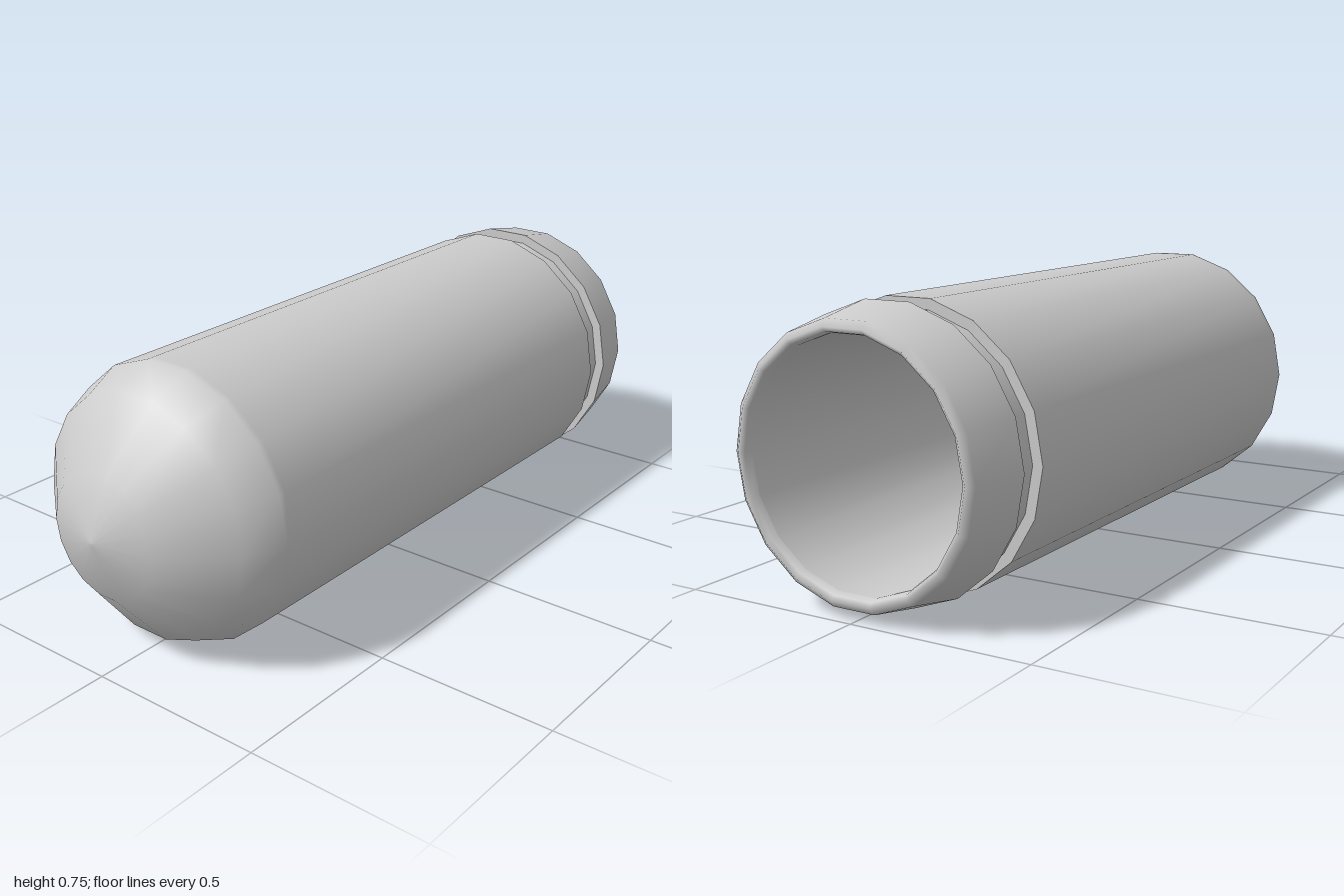
import * as THREE from 'three';

const SIDES = 18;
const AXIS_Y = 0.374;

// Revolves [radius, z] pairs around the long axis; z rising means facing outward.
function turned(name, profile) {
  const points = profile.map(([r, z]) => new THREE.Vector2(r, z));
  const geometry = new THREE.LatheGeometry(points, SIDES, Math.PI / 2);
  geometry.rotateX(Math.PI / 2);
  geometry.translate(0, AXIS_Y, 0);
  const material = new THREE.MeshStandardMaterial({ color: 0xcccccc });
  const mesh = new THREE.Mesh(geometry, material);
  mesh.name = name;
  return mesh;
}

export function createModel() {
  const model = new THREE.Group();
  model.name = 'hollowCapsule';

  // Long body with its rounded nose; the close pair keeps the straight wall even
  model.add(turned('bodyAndNose', [
    [0.38, -0.75], [0.38, 0.7], [0.38, 0.72], [0.333, 0.83],
    [0.165, 0.965], [0.01, 0.999], [0, 1],
  ]));

  // Step down into the groove, groove floor, step up to the collar
  model.add(turned('bodyShoulder', [[0.352, -0.75], [0.38, -0.75]]));
  model.children[1].geometry.scale(1, 1, 1);
  model.children[1].material.side = THREE.DoubleSide;
  model.add(turned('groove', [[0.352, -0.83], [0.352, -0.75]]));
  const collarShoulder = turned('collarShoulder', [[0.38, -0.83], [0.352, -0.83]]);
  collarShoulder.material.side = THREE.DoubleSide;
  model.add(collarShoulder);

  // Tapered collar rolling over the rim into the open end
  model.add(turned('collarAndRim', [
    [0.315, -0.97], [0.32, -0.99], [0.332, -1], [0.351, -0.985], [0.38, -0.83],
  ]));

  // Hollow inside, following the outer shell
  model.add(turned('cavity', [
    [0, 0.93], [0.01, 0.929], [0.145, 0.9], [0.285, 0.79],
    [0.32, 0.7], [0.32, 0.68], [0.315, -0.97],
  ]));

  return model;
}
